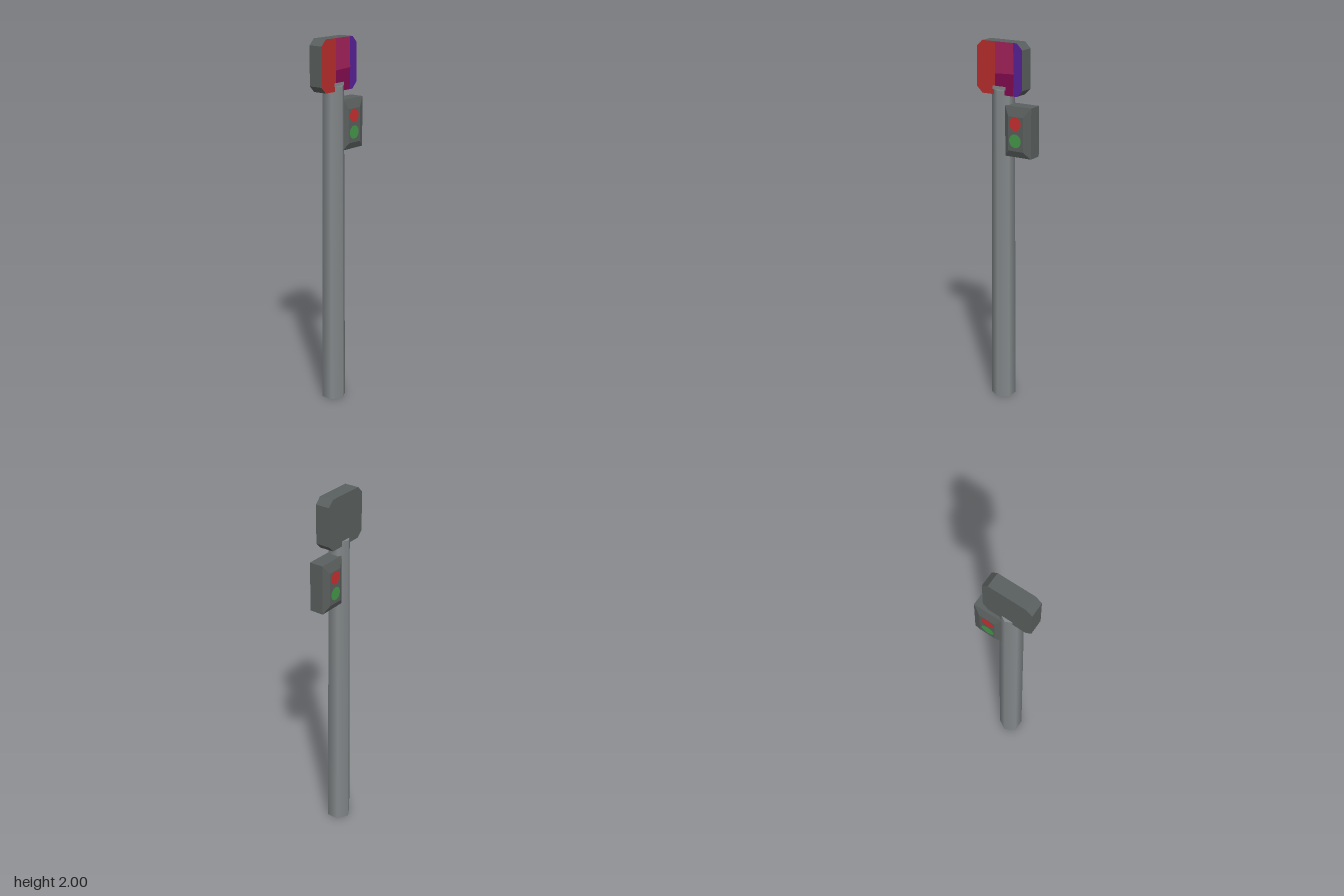
import * as THREE from 'three';
import { ConvexGeometry } from 'three/addons/geometries/ConvexGeometry.js';

const paint = (name, color) => {
  const m = new THREE.MeshStandardMaterial({ color });
  m.name = name;
  return m;
};

const shapeOf = (pts) => new THREE.Shape(pts.map(([x, y]) => new THREE.Vector2(x, y)));

export function createModel() {
  const model = new THREE.Group();
  model.name = 'crossingSignal';

  const poleGrey = paint('poleGrey', 0x84898b);
  const darkGrey = paint('darkGrey', 0x5a605f);
  const signRed = paint('signRed', 0xb92d2d);
  const magenta = paint('magenta', 0xa4225a);
  const plum = paint('plum', 0x820a50);
  const purple = paint('purple', 0x582096);
  const lampRed = paint('lampRed', 0xc73030);
  const lampGreen = paint('lampGreen', 0x45984a);

  const add = (name, geometry, material, x = 0, y = 0, z = 0) => {
    const mesh = new THREE.Mesh(geometry, material);
    mesh.name = name;
    mesh.position.set(x, y, z);
    model.add(mesh);
    return mesh;
  };

  // Tapered six-sided pole with a corner facing forward
  add('pole', new THREE.CylinderGeometry(0.059, 0.068, 1.752, 6), poleGrey, -0.029, 0.876, -0.002);

  // Sign board with clipped corners
  const [l, r, b, t, c] = [-0.167, 0.11, 1.725, 2, 0.033];
  const board = shapeOf([
    [l + c, b], [r - c, b], [r, b + c], [r, t - c],
    [r - c, t], [l + c, t], [l, t - c], [l, b + c],
  ]);
  add('signBoard', new THREE.ExtrudeGeometry(board, { depth: 0.08, bevelEnabled: false }), darkGrey, 0, 0, -0.043);

  // Painted panels on the sign front
  const m1 = -0.055, m2 = 0.055, mid = 1.84;
  const panels = [
    ['redPanel', signRed, [[l + c, b], [m1, b], [m1, t], [l + c, t], [l, t - c], [l, b + c]]],
    ['magentaPanel', magenta, [[m1, mid - 0.005], [m2 + 0.005, mid], [m2, t], [m1, t]]],
    ['plumPanel', plum, [[m1, b], [m2, b], [m2 + 0.005, mid], [m1, mid - 0.005]]],
    ['purplePanel', purple, [[m2, b], [r - c, b], [r, b + c], [r, t - c], [r - c, t], [m2, t], [m2 + 0.005, mid]]],
  ];
  for (const [name, material, pts] of panels) {
    add(name, new THREE.ShapeGeometry(shapeOf(pts)), material, 0, 0, 0.038);
  }
  // Small mounting strip above the pole top
  add('mountStrip', new THREE.PlaneGeometry(0.078, 0.018), poleGrey, -0.03, 1.761, 0.0385);

  // Signal box with bevelled front and back
  const corners = [];
  const ring = (x0, x1, y0, y1, z) => {
    for (const x of [x0, x1]) for (const y of [y0, y1]) corners.push(new THREE.Vector3(x, y, z));
  };
  ring(0.035, 0.125, 1.44, 1.623, 0.052);
  ring(0.005, 0.165, 1.405, 1.675, 0.036);
  ring(0.005, 0.165, 1.405, 1.675, -0.042);
  ring(0.035, 0.125, 1.44, 1.623, -0.058);
  add('signalBox', new ConvexGeometry(corners), darkGrey);

  // Red and green lamps on both faces
  for (const [side, z, turn] of [['front', 0.053, 0], ['back', -0.059, Math.PI]]) {
    for (const [colour, material, y] of [['Red', lampRed, 1.585], ['Green', lampGreen, 1.495]]) {
      add(`${side}${colour}Lamp`, new THREE.CircleGeometry(0.036, 20), material, 0.077, y, z).rotation.y = turn;
    }
  }
  return model;
}
